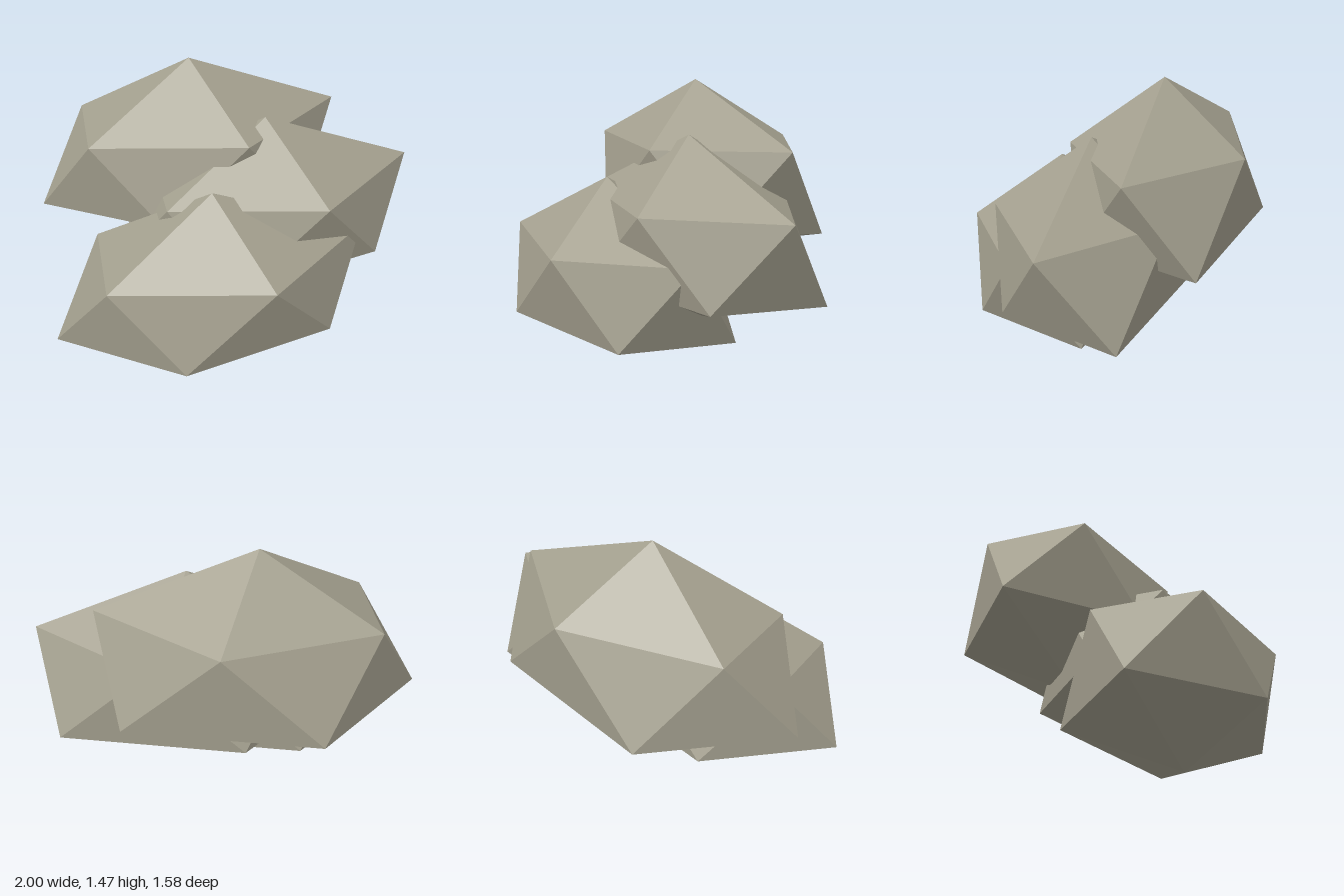
import * as THREE from 'three';

// Faceted boulder: two staggered five-point rings between a top and a bottom point
function boulderGeometry() {
  const upper = [[0.81, 0.68, 0], [0.22, 0.65, 0.45], [-0.57, 0.645, 0.27], [-0.57, 0.645, -0.27], [0.22, 0.655, -0.47]];
  const lower = [[0.57, 0.235, 0.28], [-0.23, 0.235, 0.46], [-0.84, 0.195, 0], [-0.27, 0.19, -0.54], [0.7, 0.19, -0.34]];
  const top = [0, 0.98, 0];
  const bottom = [0, 0, 0];
  const corners = [];
  for (let i = 0; i < 5; i++) {
    const j = (i + 1) % 5;
    corners.push(top, upper[j], upper[i]);
    corners.push(upper[i], upper[j], lower[i]);
    corners.push(lower[j], lower[i], upper[j]);
    corners.push(bottom, lower[i], lower[j]);
  }
  const geometry = new THREE.BufferGeometry();
  geometry.setAttribute('position', new THREE.Float32BufferAttribute(corners.flat(), 3));
  geometry.computeVertexNormals();
  return geometry;
}

export function createModel() {
  const group = new THREE.Group();
  group.name = 'rockPile';
  const stone = new THREE.MeshStandardMaterial({ color: 0xa39f8e, flatShading: true });
  stone.name = 'stone';
  const geometry = boulderGeometry();

  // Three equal boulders climbing from front to back, the middle one shifted sideways
  const places = {
    frontBoulder: [-0.16, 0, 0.33],
    middleBoulder: [0.185, 0.245, 0.04],
    backBoulder: [-0.16, 0.49, -0.25],
  };
  for (const [name, position] of Object.entries(places)) {
    const boulder = new THREE.Mesh(geometry, stone);
    boulder.name = name;
    boulder.position.set(...position);
    group.add(boulder);
  }
  return group;
}
